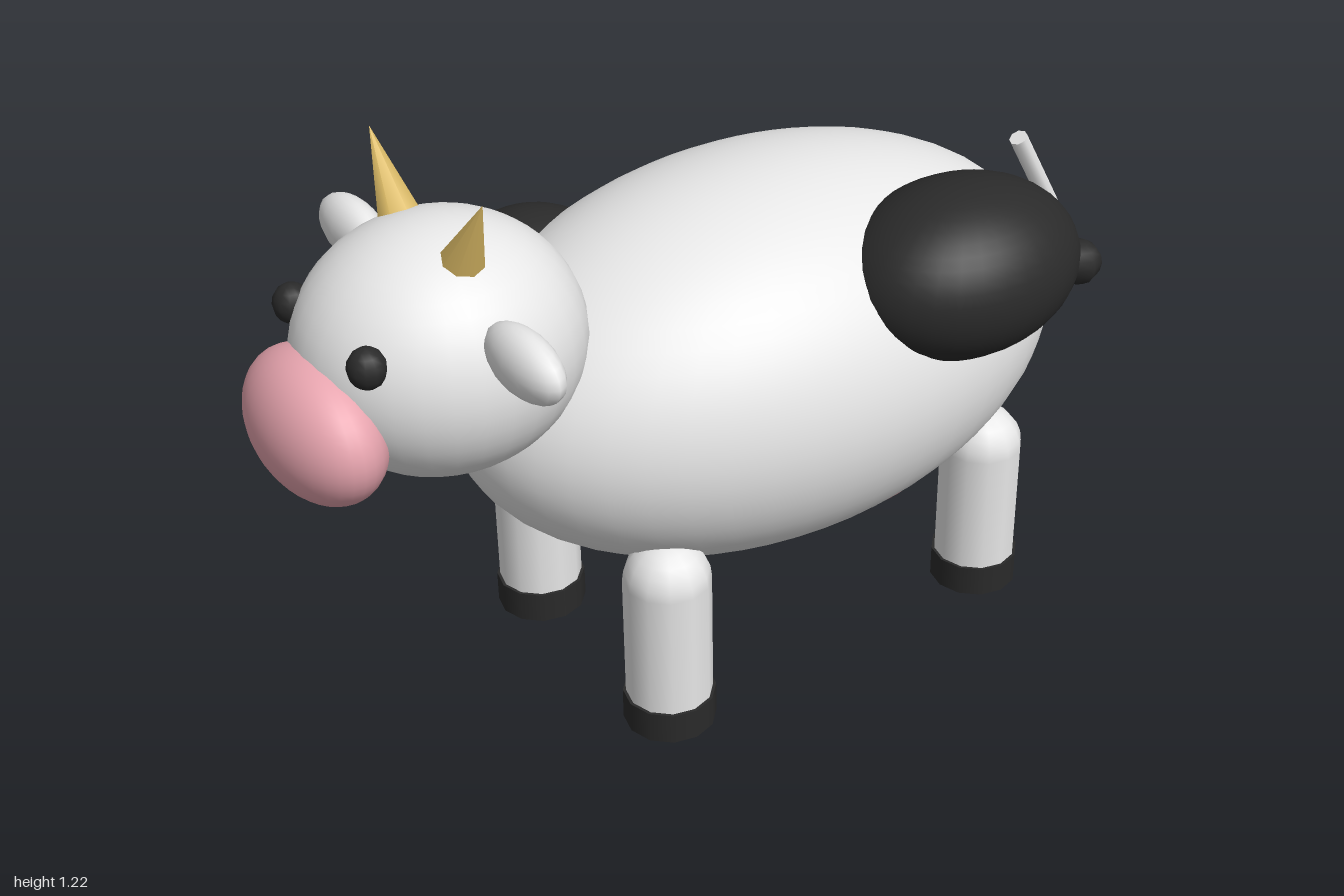
import * as THREE from 'three';

const mat = (name, color) => {
  const m = new THREE.MeshStandardMaterial({ color });
  m.name = name;
  return m;
};

export function createModel() {
  const white = mat('white hide', 0xf0f0f0);
  const black = mat('black', 0x2a2a2a);
  const pink = mat('pink skin', 0xffb6c1);
  const gold = mat('horn', 0xdcbb66);

  const cow = new THREE.Group();
  cow.name = 'cow';
  const CX = -0.037; // the unequal patches shift the animal off centre

  const add = (name, geometry, material, x, y, z) => {
    const mesh = new THREE.Mesh(geometry, material);
    mesh.name = name;
    mesh.position.set(CX + x, y, z);
    cow.add(mesh);
    return mesh;
  };
  // Ellipsoid from its centre and three radii
  const blob = (name, material, [x, y, z], [rx, ry, rz], w = 32, h = 24) =>
    add(name, new THREE.SphereGeometry(1, w, h).scale(rx, ry, rz), material, x, y, z);

  // Body, head and muzzle
  blob('body', white, [0, 0.64, -0.062], [0.42, 0.385, 0.672], 48, 32);
  blob('head', white, [0, 0.875, 0.642], [0.25, 0.236, 0.267]);
  blob('muzzle', pink, [0, 0.795, 0.893], [0.184, 0.135, 0.105]);
  blob('udder', pink, [0, 0.30, -0.31], [0.16, 0.133, 0.17]);

  // Hide patches, bulging out of the body
  blob('rearPatch', black, [0.297, 0.848, -0.308], [0.196, 0.17, 0.256]);
  blob('shoulderPatch', black, [-0.263, 0.77, 0.3], [0.16, 0.145, 0.18]);

  for (const [side, s] of [['left', 1], ['right', -1]]) {
    blob(side + 'Eye', black, [s * 0.137, 0.956, 0.85], [0.035, 0.038, 0.035], 12, 8);
    blob(side + 'Ear', white, [s * 0.298, 0.97, 0.645], [0.11, 0.061, 0.045], 16, 12);

    // Horn leaning outward
    const horn = add(side + 'Horn', new THREE.ConeGeometry(0.045, 0.18, 8), gold, s * 0.147, 1.138, 0.645);
    horn.rotation.z = -s * 0.54;

    // Legs with rounded ends and hoof bands
    for (const [end, z] of [['Front', 0.333], ['Rear', -0.455]]) {
      add(side + end + 'Leg', new THREE.CapsuleGeometry(0.085, 0.275, 6, 12), white, s * 0.236, 0.2225, z);
      add(side + end + 'Hoof', new THREE.CylinderGeometry(0.091, 0.091, 0.065, 12), black, s * 0.236, 0.067, z);
    }
  }

  // Tail with a tuft at its lower end
  const top = new THREE.Vector3(0, 0.885, -0.733);
  const tip = new THREE.Vector3(0, 0.525, -0.943);
  const dir = top.clone().sub(tip);
  const mid = top.clone().add(tip).multiplyScalar(0.5);
  const tail = add('tail', new THREE.CylinderGeometry(0.02, 0.02, dir.length(), 8), white, mid.x, mid.y, mid.z);
  tail.quaternion.setFromUnitVectors(new THREE.Vector3(0, 1, 0), dir.normalize());
  blob('tailTuft', black, [0, 0.525, -0.946], [0.052, 0.052, 0.052], 8, 8);

  return cow;
}
